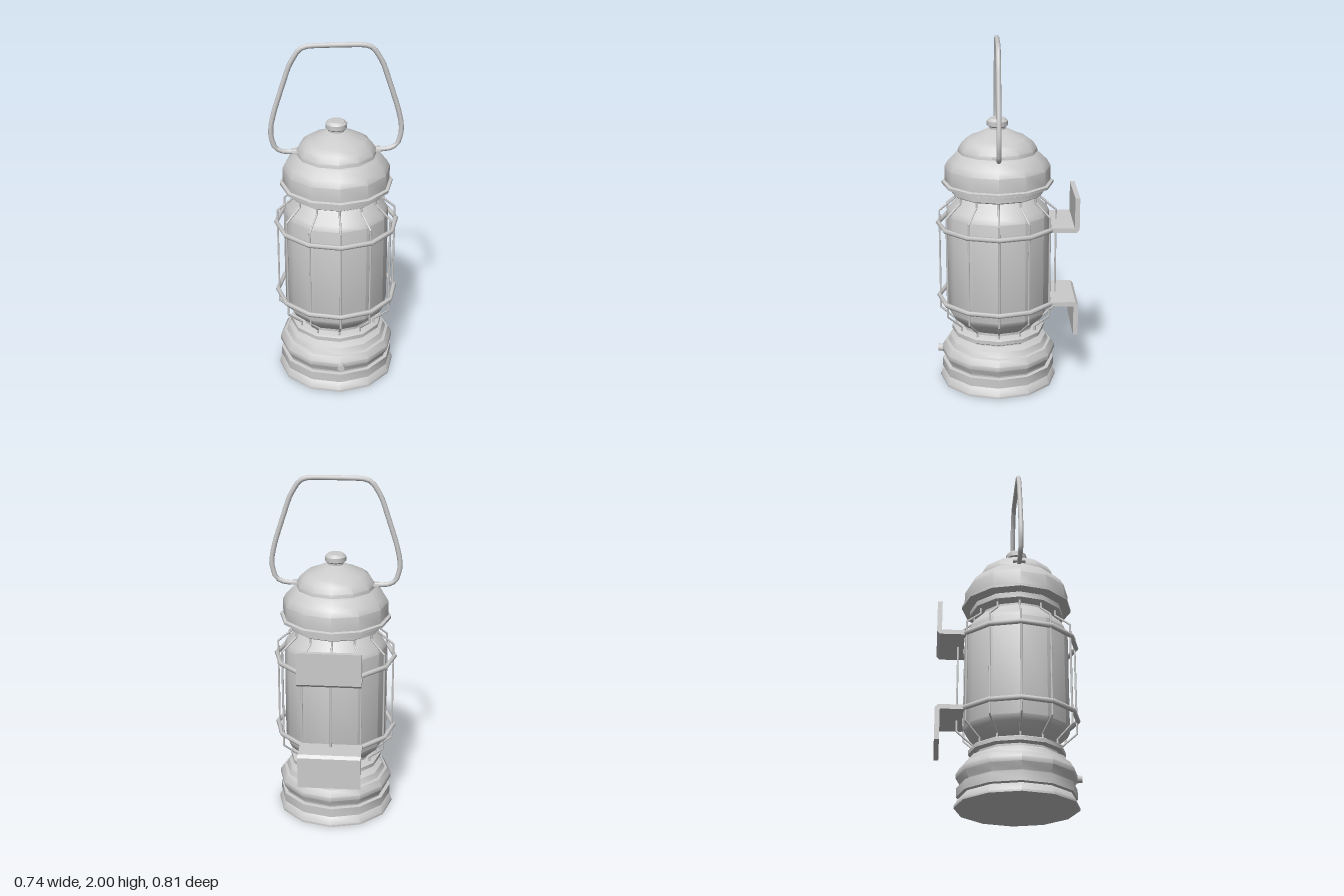
import * as THREE from 'three';
import { mergeGeometries, toCreasedNormals } from 'three/addons/utils/BufferGeometryUtils.js';

const SIDES = 12;
const AXIS_Z = 0.05; // lantern axis sits forward of the wall brackets

export function createModel() {
  const lantern = new THREE.Group();
  lantern.name = 'lantern';
  const material = new THREE.MeshStandardMaterial({ color: 0xcccccc });

  const add = (name, geometry, parent = lantern) => {
    const mesh = new THREE.Mesh(geometry, material);
    mesh.name = name;
    parent.add(mesh);
    return mesh;
  };

  // Turned part from [radius, height] pairs, listed bottom to top
  const turned = (name, profile, sides = SIDES) => {
    const points = profile.map(([r, y]) => new THREE.Vector2(r, y));
    const mesh = add(name, toCreasedNormals(new THREE.LatheGeometry(points, sides), 0.62));
    mesh.position.z = AXIS_Z;
    return mesh;
  };

  // Straight rod pieces joined along [x, y] points
  const rod = (points, radius) => mergeGeometries(points.slice(1).map(([x, y], i) => {
    const a = new THREE.Vector3(...points[i], 0);
    const dir = new THREE.Vector3(x, y, 0).sub(a);
    const g = new THREE.CylinderGeometry(radius, radius, dir.length() + radius * 0.5, 6);
    g.applyQuaternion(new THREE.Quaternion().setFromUnitVectors(
      new THREE.Vector3(0, 1, 0), dir.clone().normalize()));
    const mid = a.addScaledVector(dir, 0.5);
    return g.translate(mid.x, mid.y, mid.z);
  }));

  // Fuel base with foot, band and rounded tank
  turned('base', [
    [0, 0], [0.34, 0], [0.34, 0.012], [0.318, 0.05], [0.31, 0.055], [0.328, 0.06],
    [0.328, 0.112], [0.308, 0.115], [0.308, 0.125], [0.332, 0.165], [0.332, 0.19],
    [0.31, 0.225], [0.295, 0.23], [0.28, 0.26], [0.25, 0.275], [0.24, 0.28], [0.24, 0.3], [0, 0.3],
  ]);
  const collar = [[0, 0], [0.255, 0], [0.268, 0.008], [0.268, 0.03], [0.255, 0.038], [0, 0.038]];
  turned('lowerCollar', collar.map(([r, y]) => [r, y + 0.292]));

  // Glass chimney
  turned('glass', [
    [0.21, 0.325], [0.21, 0.345], [0.225, 0.36], [0.28, 0.41], [0.295, 0.44],
    [0.295, 1.02], [0.28, 1.05], [0.225, 1.105], [0.21, 1.12], [0.21, 1.14],
  ]);

  // Upper collar and domed cap
  turned('upperCollar', [
    [0, 1.132], [0.255, 1.132], [0.268, 1.14], [0.268, 1.17], [0.255, 1.178],
    [0.24, 1.18], [0.24, 1.2], [0, 1.2],
  ]);
  turned('cap', [
    [0.24, 1.185], [0.316, 1.185], [0.316, 1.2], [0.3, 1.205], [0.3, 1.285],
    [0.28, 1.32], [0.24, 1.36], [0.225, 1.37], [0.222, 1.39], [0.2, 1.425],
    [0.165, 1.45], [0.125, 1.465], [0.055, 1.5], [0, 1.5],
  ]);
  turned('capKnob', [
    [0.045, 1.49], [0.045, 1.51], [0.06, 1.52], [0.06, 1.545], [0.045, 1.56], [0, 1.562],
  ]);

  // Wire cage: twelve bent uprights and two hoops
  const cage = new THREE.Group();
  cage.name = 'cage';
  cage.position.z = AXIS_Z;
  lantern.add(cage);
  const wire = rod([[0.243, 0.32], [0.243, 0.355], [0.333, 0.435],
    [0.333, 1.025], [0.243, 1.1], [0.243, 1.14]], 0.006);
  for (let i = 0; i < SIDES; i++) {
    add('cageWire', wire, cage).rotation.y = (i / SIDES) * Math.PI * 2;
  }
  const hoop = new THREE.TorusGeometry(0.341, 0.014, 6, SIDES).rotateX(Math.PI / 2);
  for (const y of [0.51, 0.953]) add('cageHoop', hoop, cage).position.y = y;

  // L-shaped wall brackets, drawn as (depth, height) and extruded sideways
  const shape = new THREE.Shape();
  shape.moveTo(0.25, -0.013);
  shape.lineTo(0.388, -0.013);
  shape.lineTo(0.404, 0.003);
  shape.lineTo(0.404, 0.187);
  shape.lineTo(0.377, 0.187);
  shape.lineTo(0.377, 0.013);
  shape.lineTo(0.25, 0.013);
  const bracket = new THREE.ExtrudeGeometry(shape, { depth: 0.354, bevelEnabled: false })
    .translate(0, 0, -0.177).rotateY(Math.PI / 2);
  const upper = add('upperBracket', bracket);
  upper.position.y = 0.953;
  const lower = add('lowerBracket', bracket.clone().rotateZ(Math.PI));
  lower.position.y = 0.51;

  // Carrying handle
  const half = [[0.14, 1.986], [0.2, 1.965], [0.25, 1.885], [0.28, 1.8], [0.335, 1.63],
    [0.356, 1.54], [0.358, 1.48], [0.338, 1.41], [0.29, 1.385], [0.2, 1.38]];
  const path = [...half.map(([x, y]) => [-x, y]).reverse(), ...half]
    .map(([x, y]) => new THREE.Vector3(x, y, 0));
  const handleCurve = new THREE.CatmullRomCurve3(path, false, 'catmullrom', 0.25);
  add('handle', new THREE.TubeGeometry(handleCurve, 60, 0.014, 8)).position.z = AXIS_Z;

  // Handle pivots on the cap
  for (const side of [-1, 1]) {
    const pivot = add('handlePivot', new THREE.BoxGeometry(0.06, 0.01, 0.07));
    pivot.position.set(side * 0.215, 1.385, AXIS_Z);
  }

  // Wick adjuster on the front of the tank
  const adjuster = add('wickKnob', new THREE.CylinderGeometry(0.02, 0.026, 0.06, 10).rotateX(Math.PI / 2));
  adjuster.position.set(0, 0.175, 0.374);

  return lantern;
}
